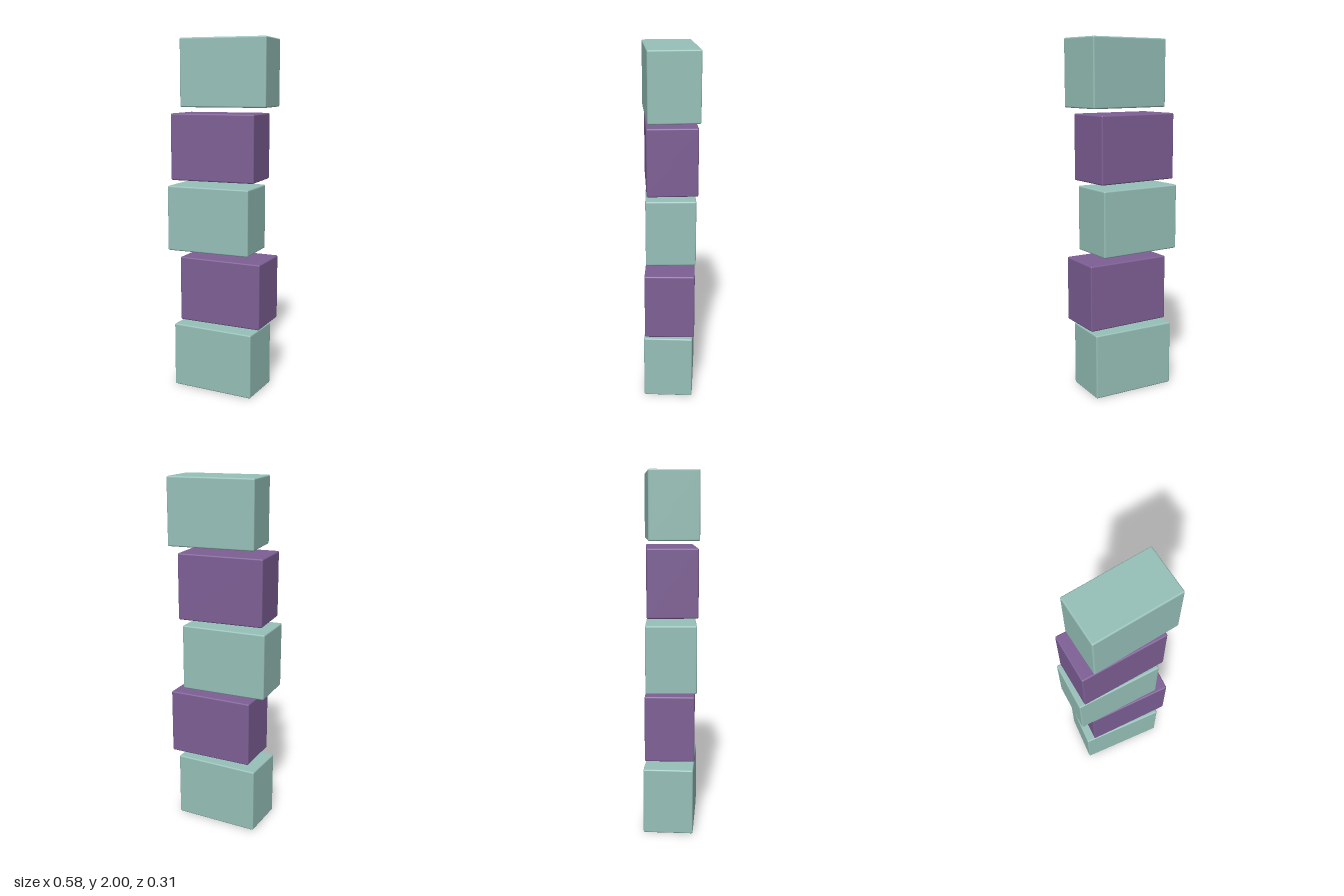
import * as THREE from 'three';
import { RoundedBoxGeometry } from 'three/addons/geometries/RoundedBoxGeometry.js';

const WIDTH = 0.49, HEIGHT = 0.372, DEPTH = 0.277, SPACING = 0.407, BEVEL = 0.008;

export function createModel() {
  const model = new THREE.Group();
  model.name = 'blockStack';

  const teal = new THREE.MeshStandardMaterial({ color: 0x96c0b8 });
  const purple = new THREE.MeshStandardMaterial({ color: 0x7d5f95 });
  const geometry = new RoundedBoxGeometry(WIDTH, HEIGHT, DEPTH, 3, BEVEL);

  // Sideways offset of each block, bottom to top
  const offsets = [-0.011, 0.031, -0.047, -0.023, 0.036];

  // Floating blocks, alternating in colour and twisting steadily upwards
  offsets.forEach((x, i) => {
    const block = new THREE.Mesh(geometry, i % 2 ? purple : teal);
    block.name = `block${i + 1}`;
    block.position.set(x, HEIGHT / 2 + i * SPACING, -0.001);
    block.rotation.y = (i - 2) * 0.035;
    model.add(block);
  });

  return model;
}
